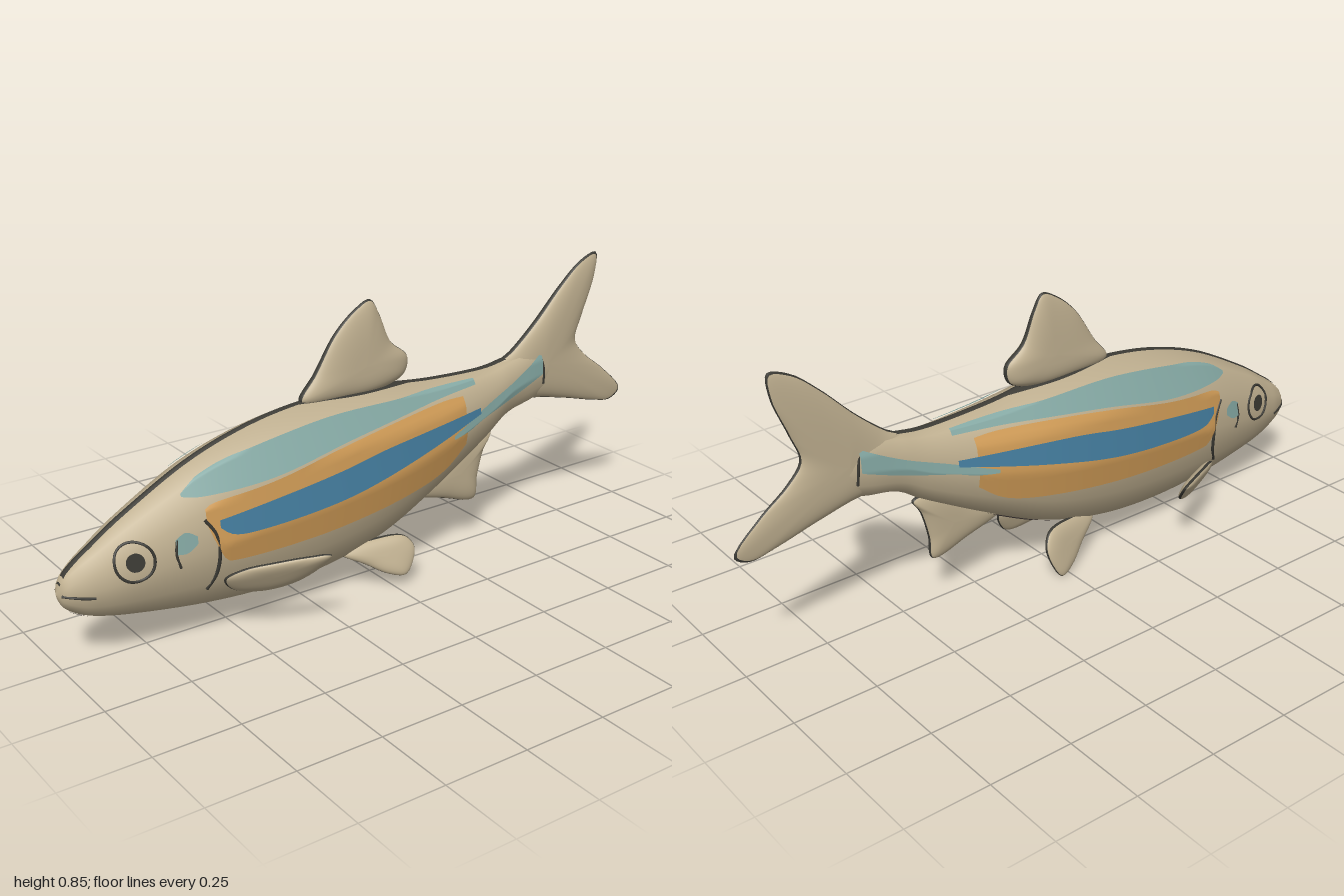
import * as THREE from 'three';

const mat = (name, color) => Object.assign(new THREE.MeshStandardMaterial({ color }), { name });
const SKIN = mat('sandSkin', 0xc2b292), TEAL = mat('tealStripe', 0x86aaa5), ORANGE = mat('orangeStripe', 0xd39e58),
  BLUE = mat('blueStripe', 0x4680a2), DARK = mat('darkLine', 0x3b3a34), BELLY = mat('bellyTaupe', 0x5c5150);

// Body stations from nose to tail root: z, top, bottom, half width
const STATIONS = [
  [1, 0.222, 0.222, 0], [0.985, 0.265, 0.185, 0.03], [0.95, 0.3, 0.155, 0.05], [0.9, 0.335, 0.132, 0.068],
  [0.8, 0.4, 0.108, 0.093], [0.6, 0.505, 0.075, 0.126], [0.4, 0.568, 0.06, 0.141], [0.2, 0.594, 0.072, 0.146],
  [0, 0.59, 0.12, 0.137], [-0.2, 0.568, 0.215, 0.11], [-0.4, 0.56, 0.325, 0.069], [-0.5, 0.572, 0.39, 0.051],
  [-0.6, 0.59, 0.412, 0.038], [-0.68, 0.575, 0.44, 0.026], [-0.75, 0.53, 0.49, 0.006],
];
const RINGS = 112, SIDES = 12;
const sample = (k) => new THREE.SplineCurve(STATIONS.map((s) => new THREE.Vector2(s[0], s[k]))).getPoints(RINGS);
const TOP = sample(1), BOTTOM = sample(2), WIDTH = sample(3);

// Linear lookup in [z, value] points that run towards -z
function lookup(pts, z) {
  for (let i = 1; i < pts.length; i++) {
    if (z >= pts[i].x || i === pts.length - 1) {
      const a = pts[i - 1], b = pts[i];
      const t = THREE.MathUtils.clamp((a.x - z) / (a.x - b.x), 0, 1);
      return a.y + (b.y - a.y) * t;
    }
  }
}
const curve = (pairs) => new THREE.SplineCurve(pairs.map((p) => new THREE.Vector2(...p))).getPoints(40);

// Point on the twelve-sided flank at a given z and y
function flank(z, y, side, lift) {
  const t = lookup(TOP, z), b = lookup(BOTTOM, z), w = lookup(WIDTH, z);
  const s = THREE.MathUtils.clamp((y - (t + b) / 2) / ((t - b) / 2), -1, 1);
  const step = Math.PI / 6, k = Math.min(5, Math.floor(Math.acos(s) / step));
  const c0 = Math.cos(k * step), c1 = Math.cos((k + 1) * step);
  const f = (c0 - s) / (c0 - c1);
  const x = w * THREE.MathUtils.lerp(Math.sin(k * step), Math.sin((k + 1) * step), f);
  return [side * (x + lift), y + s * lift, z];
}

// Grid surface with normals along du x dv; wrap closes it in u
function grid(fn, nu, nv, { wrap = false, flip = false } = {}) {
  const pos = [], index = [], cols = wrap ? nu : nu + 1;
  for (let j = 0; j <= nv; j++) for (let i = 0; i < cols; i++) pos.push(...fn(i / nu, j / nv));
  for (let j = 0; j < nv; j++) for (let i = 0; i < nu; i++) {
    const i1 = (i + 1) % cols;
    const a = j * cols + i, b = j * cols + i1, c = b + cols, d = a + cols;
    index.push(...(flip ? [a, c, b, a, d, c] : [a, b, c, a, c, d]));
  }
  const g = new THREE.BufferGeometry();
  g.setAttribute('position', new THREE.Float32BufferAttribute(pos, 3));
  g.setIndex(index);
  g.computeVertexNormals();
  return g;
}

export function createModel() {
  const group = new THREE.Group();
  group.name = 'fish';
  const add = (name, geo, material) => {
    const m = new THREE.Mesh(geo, material);
    m.name = name;
    group.add(m);
  };

  // Body loft
  add('body', grid((u, v) => {
    const i = Math.round(v * RINGS), a = u * Math.PI * 2;
    const t = TOP[i].y, b = BOTTOM[i].y;
    return [WIDTH[i].y * Math.sin(a), (t + b) / 2 + Math.cos(a) * (t - b) / 2, TOP[i].x];
  }, SIDES, RINGS, { wrap: true }), SKIN);

  // Bands along the back and the belly, within the two facets beside the midline
  const midBand = (name, up, z0, z1, halfAt, material) => add(name, grid((u, v) => {
    const z = z0 + (z1 - z0) * u;
    const t = lookup(TOP, z), b = lookup(BOTTOM, z), w = lookup(WIDTH, z);
    const f = (v * 2 - 1) * Math.min(1, halfAt(u) / (w * 0.5));
    const y = (t + b) / 2 + up * ((t - b) / 2) * (1 - Math.abs(f) * 0.134);
    return [f * w * 0.5, y + up * 0.003, z];
  }, 90, 4, { flip: up > 0 }), material);
  midBand('backLine', 1, 0.992, -0.66, () => 0.011, DARK);
  midBand('dorsalFinBase', 1, 0.25, -0.13, (u) => 0.011 + 0.022 * Math.sin(Math.PI * u), DARK);
  midBand('bellyBand', -1, 0.97, -0.25, (u) => 0.072 * Math.sqrt(Math.max(0, Math.sin(Math.PI * u))), BELLY);

  // Pillow-shaped fin from a (z, y) outline, with a dark rim
  function fin(name, outline, centre, half, place, flip = false) {
    const pts = new THREE.CatmullRomCurve3(outline.map(([z, y]) => new THREE.Vector3(z, y, 0)), true)
      .getPoints(72).slice(0, 72);
    if (THREE.ShapeUtils.area(pts) < 0) pts.reverse();
    const geo = grid((u, v) => {
      const p = pts[Math.round(u * 72) % 72], r = Math.pow(Math.abs(Math.sin(Math.PI * v)), 0.6);
      return place(half * Math.cos(Math.PI * v), centre[1] + (p.y - centre[1]) * r, centre[0] + (p.x - centre[0]) * r);
    }, 72, 24, { wrap: true, flip });
    const row = 72 * 6;
    geo.addGroup(0, 10 * row, 0);
    geo.addGroup(10 * row, 4 * row, 1);
    geo.addGroup(14 * row, 10 * row, 0);
    add(name, geo, [SKIN, DARK]);
  }
  fin('tailFin', [[-0.45, 0.54], [-0.53, 0.59], [-0.62, 0.665], [-0.72, 0.765], [-0.8, 0.83], [-0.862, 0.848],
    [-0.86, 0.78], [-0.815, 0.66], [-0.79, 0.58], [-0.83, 0.525], [-0.92, 0.455], [-1, 0.37], [-0.96, 0.342],
    [-0.88, 0.355], [-0.75, 0.39], [-0.6, 0.42], [-0.45, 0.4]], [-0.66, 0.53], 0.03,
  (x, y, z) => [x * Math.min(1, (z + 1.2) / 0.55), y, z]);
  fin('dorsalFin', [[0.24, 0.59], [0.19, 0.66], [0.12, 0.765], [0.05, 0.825], [0, 0.845], [-0.03, 0.8],
    [-0.07, 0.71], [-0.13, 0.655], [-0.12, 0.605], [-0.04, 0.575], [0.1, 0.57]], [0.03, 0.66], 0.03,
  (x, y, z) => [x * (1 + (0.68 - y) * 1.8), y, z]);
  fin('analFin', [[-0.15, 0.215], [-0.28, 0.165], [-0.395, 0.138], [-0.405, 0.21], [-0.43, 0.3], [-0.455, 0.345],
    [-0.37, 0.345], [-0.25, 0.28]], [-0.33, 0.24], 0.022, (x, y, z) => [x, y, z]);

  for (const [label, s] of [['left', 1], ['right', -1]]) {
    // Paired fins, leaning outwards and swept back
    fin(label + 'PectoralFin', [[0.57, 0.19], [0.53, 0.222], [0.46, 0.238], [0.38, 0.25], [0.322, 0.25],
      [0.34, 0.2], [0.39, 0.15], [0.465, 0.128], [0.54, 0.145]], [0.45, 0.19], 0.02,
    (x, y, z) => [s * (0.132 + (0.56 - z) * 0.45 + (y - 0.19) * 0.6 + x), y + (s > 0 ? 0.004 : -0.014), z], s < 0);
    const lift = s > 0 ? 0.033 : 0;
    fin(label + 'PelvicFin', [[0.15, 0.115], [0.08, 0.06], [0.02, 0.015], [-0.03, 0.001], [-0.06, 0.04],
      [-0.075, 0.1], [-0.05, 0.14], [0.03, 0.145]], [0.02, 0.085], 0.02,
    (x, y, z) => [s * (0.073 + (0.14 - y) * 0.3 + (0.05 - z) * 0.25 + x), y + lift * (1 - y / 0.15), z], s < 0);

    // Flank stripes
    const stripe = (name, topPts, bottomPts, material, lift) => {
      const hi = curve(topPts), lo = curve(bottomPts);
      const z0 = topPts[0][0], z1 = topPts[topPts.length - 1][0];
      add(label + name, grid((u, v) => {
        const z = z0 + (z1 - z0) * u;
        return flank(z, THREE.MathUtils.lerp(lookup(lo, z), lookup(hi, z), v), s, lift);
      }, 60, 14, { flip: s < 0 }), material);
    };
    stripe('UpperStripe', [[0.66, 0.442], [0.6, 0.48], [0.465, 0.52], [0.2, 0.557], [-0.07, 0.554], [-0.35, 0.546]],
      [[0.66, 0.435], [0.6, 0.43], [0.4, 0.445], [0.14, 0.49], [-0.15, 0.52], [-0.35, 0.53]], TEAL, 0.004);
    stripe('OrangeStripe', [[0.61, 0.4], [0.57, 0.415], [0.4, 0.436], [0.2, 0.474], [0, 0.5], [-0.2, 0.514], [-0.29, 0.512]],
      [[0.61, 0.36], [0.57, 0.265], [0.52, 0.24], [0.25, 0.245], [-0.05, 0.277], [-0.2, 0.31], [-0.29, 0.37]], ORANGE, 0.003);
    stripe('BlueStripe', [[0.575, 0.365], [0.5, 0.375], [0.2, 0.415], [0, 0.444], [-0.35, 0.466]],
      [[0.575, 0.345], [0.5, 0.315], [0.2, 0.335], [-0.07, 0.385], [-0.35, 0.448]], BLUE, 0.006);
    stripe('TailStripe', [[-0.23, 0.412], [-0.3, 0.436], [-0.36, 0.458], [-0.5, 0.507], [-0.63, 0.568]],
      [[-0.23, 0.402], [-0.3, 0.412], [-0.36, 0.43], [-0.5, 0.463], [-0.63, 0.505]], TEAL, 0.005);
    stripe('CheekSpot', [[0.7, 0.335], [0.67, 0.35], [0.64, 0.335]], [[0.7, 0.295], [0.67, 0.295], [0.64, 0.315]], TEAL, 0.004);

    // Drawn lines: gill, cheek, mouth, tail root and eye ring
    const line = (name, pts, radius, closed = false) => {
      const path = new THREE.CatmullRomCurve3(pts.map(([z, y]) => new THREE.Vector3(...flank(z, y, s, 0.001))), closed);
      add(label + name, new THREE.TubeGeometry(path, 40, radius, 6, closed), DARK);
    };
    line('GillLine', [[0.615, 0.375], [0.588, 0.33], [0.58, 0.27], [0.588, 0.21], [0.61, 0.165]], 0.005);
    line('CheekLine', [[0.695, 0.335], [0.7, 0.295], [0.69, 0.255]], 0.004);
    line('MouthLine', [[0.992, 0.224], [0.97, 0.222], [0.94, 0.216], [0.915, 0.213]], 0.004);
    line('TailRootLine', [[-0.625, 0.57], [-0.637, 0.52], [-0.64, 0.47]], 0.004);
    const circle = (r, n) => Array.from({ length: n }, (_, i) =>
      [0.81 + r * Math.cos(i / n * 2 * Math.PI), 0.294 + r * Math.sin(i / n * 2 * Math.PI)]);
    line('EyeRing', circle(0.052, 24), 0.004, true);
    add(label + 'Pupil', grid((u, v) => {
      const a = u * Math.PI * 2, r = 0.025 * v;
      return flank(0.81 + r * Math.cos(a), 0.294 + r * Math.sin(a), s, 0.004);
    }, 24, 3, { wrap: true, flip: s < 0 }), DARK);
  }
  return group;
}
